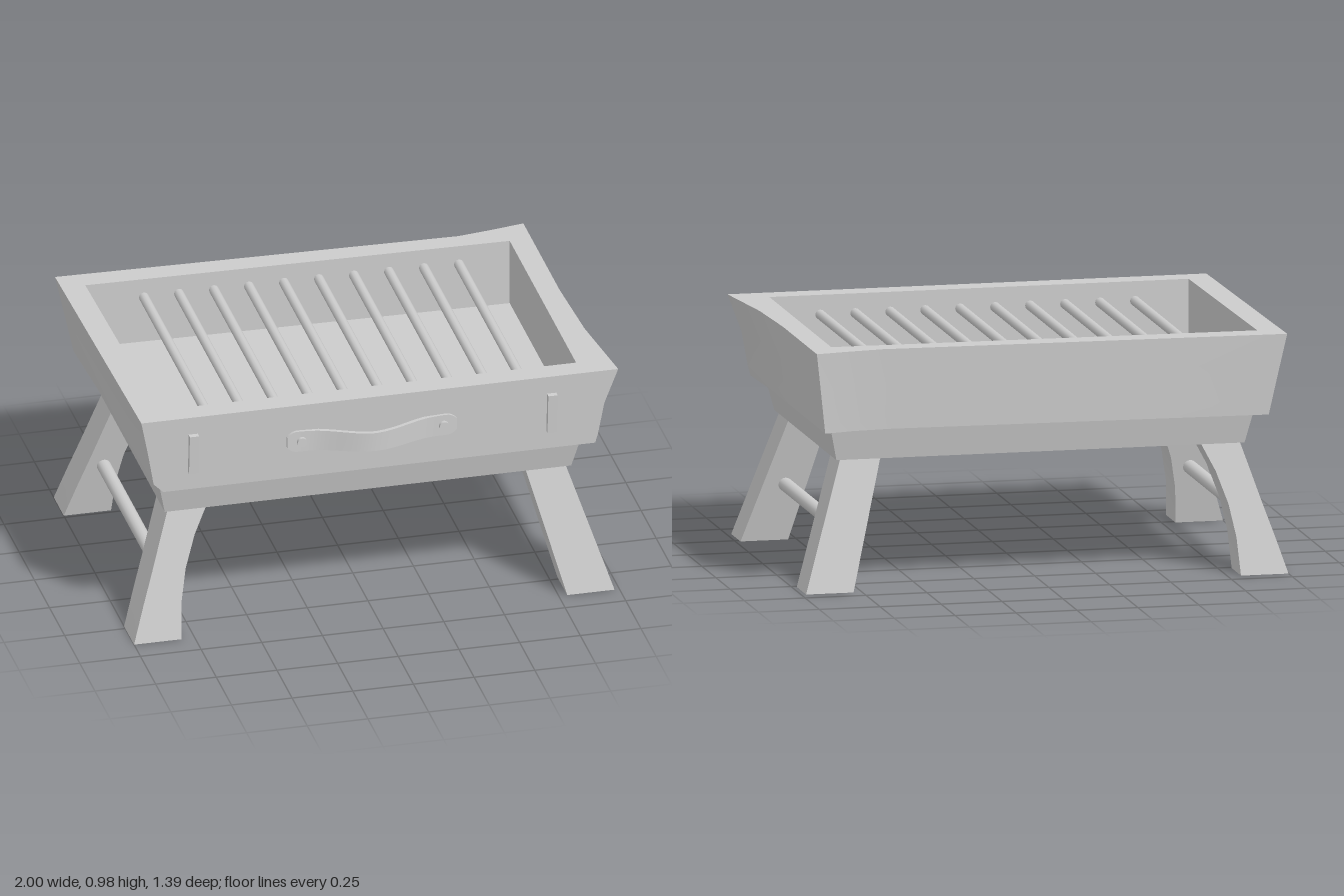
import * as THREE from 'three';
import { toCreasedNormals } from 'three/addons/utils/BufferGeometryUtils.js';

const grey = new THREE.MeshStandardMaterial({ color: 0xcccccc });
const greyOpen = new THREE.MeshStandardMaterial({ color: 0xcccccc, side: THREE.DoubleSide });

// Skin between loops of [x, y, z] points; a cap is a fan to the loop's centre.
function loft(loops, capStart = true, capEnd = true, crease = 0.45) {
  const centre = (loop) => {
    const c = [0, 1, 2].map((k) => loop.reduce((s, p) => s + p[k], 0) / loop.length);
    return loop.map(() => c);
  };
  const all = [...loops];
  if (capStart) all.unshift(centre(loops[0]));
  if (capEnd) all.push(centre(loops[loops.length - 1]));
  const pos = [];
  const tri = (a, b, c) => {
    if (a !== b && b !== c && a !== c) pos.push(...a, ...b, ...c);
  };
  for (let l = 0; l + 1 < all.length; l++) {
    const n = all[l].length;
    for (let i = 0; i < n; i++) {
      const j = (i + 1) % n;
      tri(all[l][i], all[l + 1][i], all[l + 1][j]);
      tri(all[l][i], all[l + 1][j], all[l][j]);
    }
  }
  const geo = new THREE.BufferGeometry();
  geo.setAttribute('position', new THREE.Float32BufferAttribute(pos, 3));
  geo.computeVertexNormals();
  return toCreasedNormals(geo, crease);
}

const level = (y, pts) => pts.map(([x, z]) => [x, y, z]);
const rect = (x0, x1, z0, z1) => [[x0, z0], [x1, z0], [x1, z1], [x0, z1]];

export function createModel() {
  const model = new THREE.Group();
  const add = (name, geo, x = 0, y = 0, z = 0, mat = grey) => {
    const mesh = new THREE.Mesh(geo, mat);
    mesh.name = name;
    mesh.position.set(x, y, z);
    model.add(mesh);
    return mesh;
  };

  // Fire box: flared outer wall, flat rim, straight inner wall and floor
  const bottom = [[-0.92, -0.675], [0.62, -0.63], [0.78, -0.645], [0.9, -0.675],
    [0.9, -0.1], [0.9, 0.25], [0.91, 0.605], [-0.87, 0.605]];
  const top = [[-0.99, -0.7], [0.66, -0.655], [0.8, -0.675], [0.94, -0.7],
    [0.94, -0.1], [0.955, 0.25], [1.0, 0.625], [-0.965, 0.625]];
  const inner = [[-0.89, -0.6], [0.6, -0.57], [0.75, -0.567], [0.85, -0.565],
    [0.85, -0.1], [0.85, 0.25], [0.85, 0.53], [-0.87, 0.53]];
  const between = (t) => bottom.map(([x, z], i) => [x + (top[i][0] - x) * t, z + (top[i][1] - z) * t]);
  const low = between(0.12);
  low[7][0] = -0.91;
  const mid = between(0.54);
  mid[6][0] = 0.945;
  mid[7][0] = -0.935;
  add('fireBox', loft([level(0.65, bottom), level(0.69, low), level(0.83, mid),
    level(0.98, top), level(0.98, inner), level(0.7, inner)]));

  // Tapered tray below the fire box
  add('lowerTray', loft([
    level(0.52, rect(-0.845, 0.83, -0.57, 0.53)),
    level(0.66, rect(-0.877, 0.862, -0.603, 0.567))]));

  // Splayed legs, open underneath; the pair at -x has a curved inner face
  const curved = [[0, -1, -0.805], [0.15, -0.952, -0.795], [0.28, -0.908, -0.77],
    [0.41, -0.866, -0.725], [0.52, -0.83, -0.67], [0.55, -0.82, -0.655]];
  const straight = [[0, 0.785, 0.98], [0.55, 0.637, 0.8]];
  const frontZ = (y) => [0.48 - 0.25 * y, 0.645 - 0.25 * y];
  const backZ = (y) => [-0.68 + 0.25 * y, -0.515 + 0.24 * y];
  for (const [side, rows] of [['Right', curved], ['Left', straight]]) {
    for (const [end, zAt] of [['front', frontZ], ['back', backZ]]) {
      const loops = rows.map(([y, x0, x1]) => level(y, rect(x0, x1, ...zAt(y))));
      add(`${end}${side}Leg`, loft(loops, false, false), 0, 0, 0, greyOpen);
    }
  }

  // Round braces between front and back legs
  for (const x of [-0.85, 0.81]) {
    add('legBrace', new THREE.CylinderGeometry(0.028, 0.028, 0.94, 16).rotateX(Math.PI / 2), x, 0.237, -0.02);
  }

  // Grill bars
  for (let i = 0; i < 10; i++) {
    add('grillBar', new THREE.CylinderGeometry(0.02, 0.02, 1.13, 12).rotateX(Math.PI / 2),
      -0.65 + i * 0.1435, 0.9, -0.03);
  }

  // Strap handle bowed out from the front wall, with rounded ends
  const sections = [];
  const steps = 28;
  for (let i = 0; i <= steps; i++) {
    const u = -Math.cos((Math.PI * i) / steps);
    const x = -0.015 + 0.35 * u;
    const d = Math.abs(x + 0.015);
    const bow = d < 0.27 ? 0.065 * Math.cos((Math.PI * d) / 0.54) ** 2 : 0;
    const tip = Math.max(0, (d - 0.31) / 0.04);
    const h = 0.04 + 0.005 * Math.min(1, d / 0.3) - 0.022 * tip * tip;
    const y = 0.813 + 0.007 * Math.min(1, d / 0.3);
    const z0 = 0.612 + bow, z1 = 0.63 + bow;
    sections.push([[x, y + h, z0], [x, y - h, z0], [x, y - h, z1], [x, y + h, z1]]);
  }
  add('handleStrap', loft(sections));
  for (const x of [-0.305, 0.28]) {
    add('handleRivet', new THREE.CylinderGeometry(0.02, 0.02, 0.04, 16).rotateX(Math.PI / 2), x, 0.82, 0.625);
  }

  // Upright clips on the front wall
  for (const x of [-0.75, 0.727]) {
    add('frontClip', new THREE.BoxGeometry(0.038, 0.172, 0.035), x, 0.817, 0.617).rotation.x = 0.08;
  }

  return model;
}
